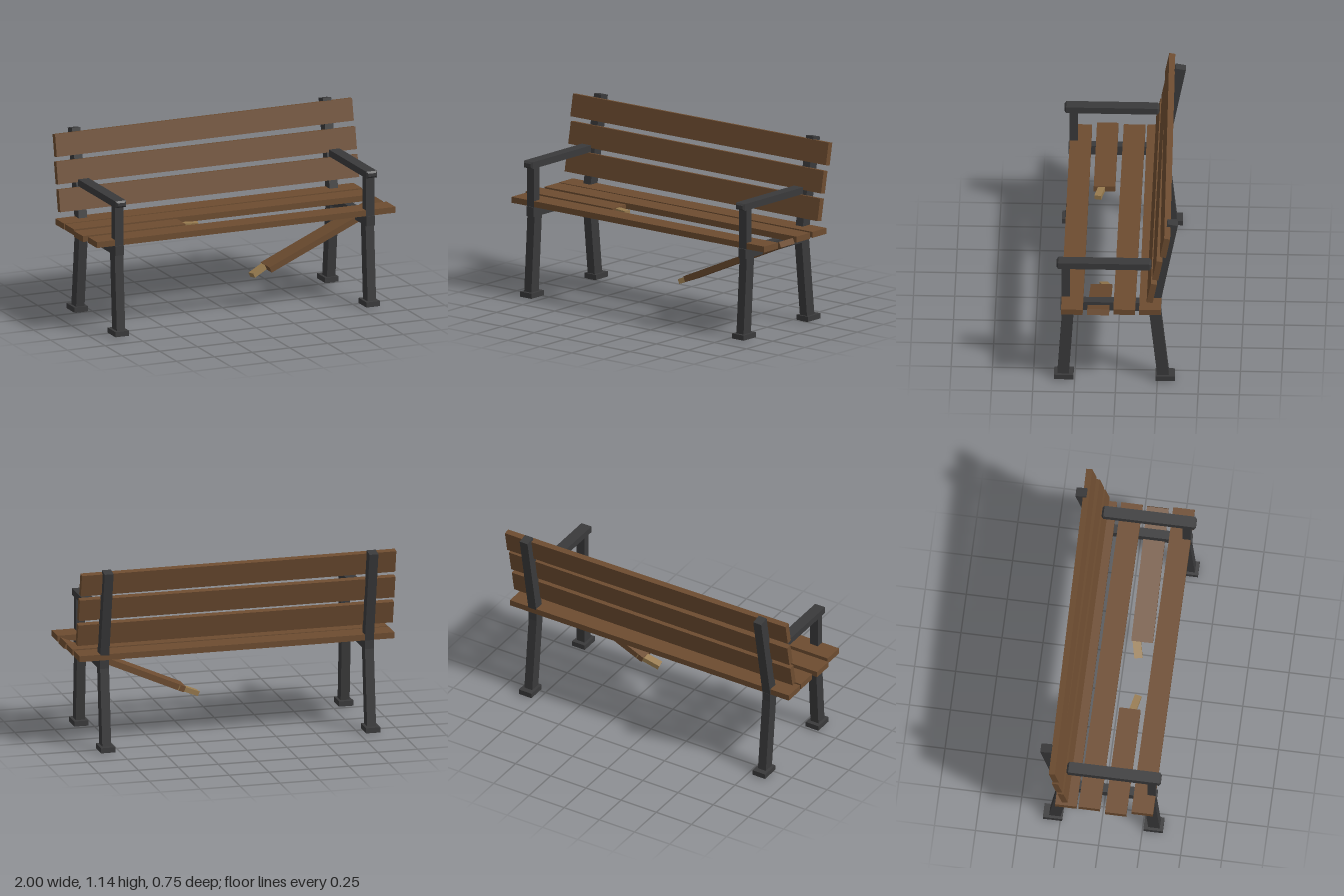
import * as THREE from 'three';

const wood = new THREE.MeshStandardMaterial({ name: 'brown wood', color: 0x6d4c30 });
const iron = new THREE.MeshStandardMaterial({ name: 'dark iron', color: 0x3a3a3b });
const rawWood = new THREE.MeshStandardMaterial({ name: 'raw splintered wood', color: 0x977a4e });

const FRAME_X = 0.83;
const FRAME_WIDTH = 0.056;
const PLANK = 0.037;

function box(name, material, size, position, rotation = [0, 0, 0]) {
  const mesh = new THREE.Mesh(new THREE.BoxGeometry(...size), material);
  mesh.name = name;
  mesh.position.set(...position);
  mesh.rotation.set(...rotation, 'YXZ');
  return mesh;
}

// Square bar in the side plane, from [y, z] to [y, z]
function bar(name, [y0, z0], [y1, z1], depth) {
  const length = Math.hypot(y1 - y0, z1 - z0);
  return box(name, iron, [FRAME_WIDTH, length, depth],
    [0, (y0 + y1) / 2, (z0 + z1) / 2], [Math.atan2(z1 - z0, y1 - y0), 0, 0]);
}

// Armrest bar with chamfered edges all round
function armrest() {
  const c = 0.011, w = 0.035 - c, h = 0.021 - c, length = 0.575;
  const shape = new THREE.Shape([
    new THREE.Vector2(-w, -h), new THREE.Vector2(w, -h),
    new THREE.Vector2(w, h), new THREE.Vector2(-w, h),
  ]);
  const geometry = new THREE.ExtrudeGeometry(shape, {
    depth: length - 2 * c, bevelEnabled: true, bevelSize: c, bevelThickness: c, bevelSegments: 1,
  });
  geometry.center();
  const mesh = new THREE.Mesh(geometry, iron);
  mesh.name = 'armrest';
  mesh.position.set(0, 0.831, 0.073);
  return mesh;
}

function sideFrame(name, x) {
  const frame = new THREE.Group();
  frame.name = name;
  frame.position.x = x;
  frame.add(
    bar('frontLeg', [0.005, 0.322], [0.535, 0.288], 0.07),
    bar('backLeg', [0.005, -0.288], [0.535, -0.232], 0.07),
    box('frontFoot', iron, [0.09, 0.032, 0.118], [0, 0.024, 0.316]),
    box('backFoot', iron, [0.09, 0.032, 0.118], [0, 0.024, -0.297]),
    box('seatRail', iron, [FRAME_WIDTH, 0.06, 0.605], [0, 0.536, 0.033]),
    box('armrestPost', iron, [FRAME_WIDTH, 0.28, 0.05], [0, 0.68, 0.304]),
    bar('backPost', [0.54, -0.23], [1.14, -0.342], 0.065),
    armrest(),
  );
  return frame;
}

export function createModel() {
  const bench = new THREE.Group();
  bench.name = 'brokenBench';
  bench.add(sideFrame('leftFrame', FRAME_X), sideFrame('rightFrame', -FRAME_X));

  // Whole seat slats: x, z, yaw
  [[0.01, 0.263, 0], [0.002, -0.056, -0.003], [0, -0.205, 0.004]].forEach(([x, z, yaw], i) => {
    bench.add(box(`seatSlat${i + 1}`, wood, [1.976, PLANK, 0.131], [x, 0.586, z], [0, yaw, 0]));
  });

  // Back slats: y, z, yaw
  [[0.727, -0.22, 0], [0.893, -0.254, 0], [1.06, -0.287, 0.0135]].forEach(([y, z, yaw], i) => {
    bench.add(box(`backSlat${i + 1}`, wood, [1.978, 0.138, PLANK], [0, y, z], [-0.19, yaw, 0]));
  });

  // Snapped slat: the half still in place, with its splinter
  bench.add(
    box('brokenSlatFixedHalf', wood, [0.68, PLANK, 0.13], [-0.66, 0.586, 0.104]),
    box('fixedSplinter', rawWood, [0.14, 0.028, 0.042], [-0.295, 0.586, 0.127], [0, -0.22, 0]),
  );

  // Snapped slat: the half hanging down from its outer end
  const hanging = new THREE.Group();
  hanging.name = 'hangingHalf';
  hanging.position.set(0.992, 0.585, 0.105);
  hanging.rotation.z = 0.417;
  hanging.add(
    box('brokenSlatHangingHalf', wood, [0.82, PLANK, 0.131], [-0.41, 0, 0]),
    box('hangingSplinter', rawWood, [0.15, 0.03, 0.05], [-0.847, 0, -0.026], [0, 0.22, 0]),
  );
  bench.add(hanging);
  return bench;
}
